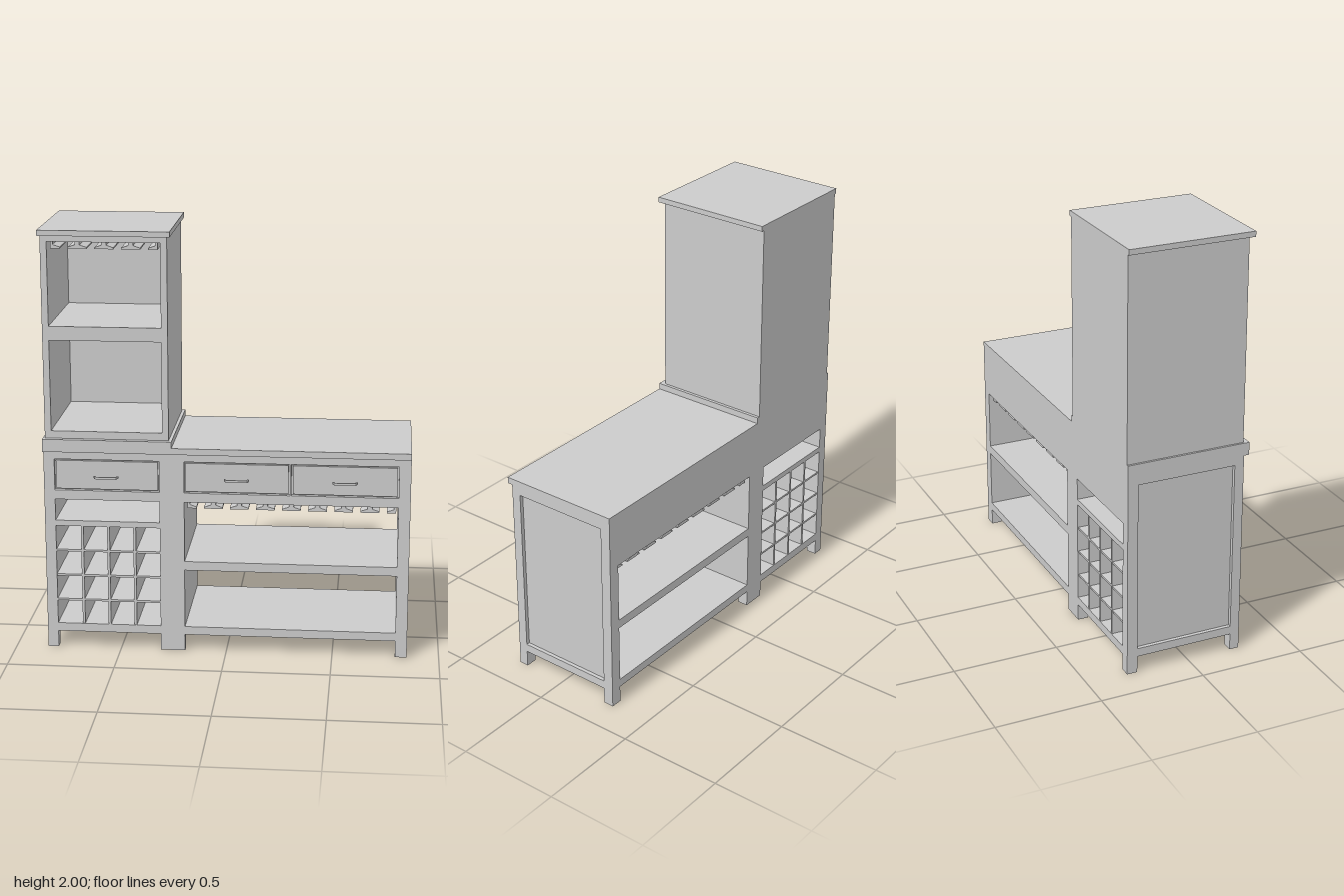
import * as THREE from 'three';

const BACK = -0.305, FRONT = 0.26, LIP = 0.285;

export function createModel() {
  const root = new THREE.Group();
  root.name = 'sideboardWithTower';
  const mat = new THREE.MeshStandardMaterial({ color: 0xcccccc });

  const add = (name, geometry, parent = root) => {
    const mesh = new THREE.Mesh(geometry, mat);
    mesh.name = name;
    parent.add(mesh);
    return mesh;
  };
  // Box given by its limits on each axis
  const box = (name, x0, x1, y0, y1, z0 = BACK, z1 = FRONT, parent = root) => {
    const mesh = add(name, new THREE.BoxGeometry(x1 - x0, y1 - y0, z1 - z0), parent);
    mesh.position.set((x0 + x1) / 2, (y0 + y1) / 2, (z0 + z1) / 2);
    return mesh;
  };
  const group = (name) => {
    const g = new THREE.Group();
    g.name = name;
    root.add(g);
    return g;
  };

  // Worktop and the thicker plinth under the tower
  box('worktop', -0.25, 0.85, 0.97, 1.0, BACK, LIP);
  box('towerPlinth', -0.85, -0.25, 0.97, 1.03, BACK, LIP);

  // End frames: two legs, two rails and a recessed panel
  for (const [side, outer, inner] of [['right', -0.85, -0.8], ['left', 0.85, 0.795]]) {
    const end = group(side + 'End');
    const s = Math.sign(outer);
    const span = (name, a, b, ...rest) => box(name, Math.min(a, b), Math.max(a, b), ...rest, end);
    span('frontLeg', inner, outer, 0, 0.97, 0.215, FRONT);
    span('backLeg', inner, outer, 0, 0.97, BACK, -0.255);
    span('topRail', inner, outer, 0.93, 0.97, -0.255, 0.215);
    span('bottomRail', inner, outer, 0.08, 0.12, -0.255, 0.215);
    span('sidePanel', inner, outer - s * 0.018, 0.12, 0.93, -0.255, 0.215);
  }

  // Central divider on two feet
  box('centreDivider', -0.31, -0.195, 0.08, 0.97);
  box('centreFrontFoot', -0.31, -0.195, 0, 0.08, 0.215, FRONT);
  box('centreBackFoot', -0.31, -0.195, 0, 0.08, BACK, -0.255);

  // Drawer front with a bow handle
  const drawer = (x0, x1, parent) => {
    box('drawerFront', x0 + 0.007, x1 - 0.007, 0.787, 0.923, 0.24, 0.256, parent);
    const w = 0.058;
    const bow = new THREE.Shape([
      [-w, 0], [-w + 0.008, 0.02], [w - 0.008, 0.02], [w, 0],
      [w - 0.008, 0], [w - 0.013, 0.013], [-w + 0.013, 0.013], [-w + 0.008, 0],
    ].map(([x, y]) => new THREE.Vector2(x, y)));
    const handle = add('drawerHandle', new THREE.ExtrudeGeometry(bow, { depth: 0.01, bevelEnabled: false }), parent);
    handle.rotation.x = Math.PI / 2;
    handle.position.set((x0 + x1) / 2, 0.86, LIP);
  };

  // Drawer case of one bay: body, face frame and drawers
  const drawerCase = (name, x0, x1, drawers) => {
    const g = group(name);
    box('caseBody', x0, x1, 0.735, 0.97, BACK, 0.24, g);
    box('upperRail', x0, x1, 0.93, 0.97, 0.24, FRONT, g);
    box('lowerRail', x0, x1, 0.735, 0.78, 0.24, FRONT, g);
    drawers.forEach(([a, b], i) => {
      if (i > 0) box('drawerDivider', drawers[i - 1][1], a, 0.78, 0.93, 0.24, FRONT, g);
      drawer(a, b, g);
    });
  };
  drawerCase('smallDrawerCase', -0.8, -0.31, [[-0.8, -0.31]]);
  drawerCase('wideDrawerCase', -0.195, 0.795, [[-0.195, 0.295], [0.302, 0.795]]);

  // Shelves of both bays
  box('rackBottom', -0.8, -0.31, 0.08, 0.12);
  box('rackShelf', -0.8, -0.31, 0.605, 0.632);
  box('openBayBottom', -0.195, 0.795, 0.08, 0.12);
  box('openBayShelf', -0.195, 0.795, 0.402, 0.445);

  // Bottle rack lattice, four by four cells
  const rack = group('bottleRack');
  for (let i = 1; i < 4; i++) {
    const x = -0.8 + i * 0.1235, y = 0.115 + i * 0.1225;
    box('rackUpright', x - 0.006, x + 0.006, 0.12, 0.605, BACK + 0.003, FRONT - 0.003, rack);
    box('rackCrossboard', -0.8, -0.31, y - 0.005, y + 0.005, BACK + 0.005, FRONT - 0.005, rack);
  }

  // Stemware rails: T-shaped runners, halved at both ends of the row
  const stemRails = (name, x0, x1, count, top, z0, z1) => {
    const g = group(name);
    for (let i = 0; i < count; i++) {
      const left = i > 0 ? 1 : 0, right = i < count - 1 ? 1 : 0;
      const half = [[0.011, 0], [0.011, -0.016], [0.043, -0.027], [0.043, -0.034]];
      const points = [
        ...half.map(([x, y]) => [x * right, y]),
        ...half.map(([x, y]) => [-x * left, y]).reverse(),
      ].filter((p, k, all) => k === 0 || p[0] !== all[k - 1][0] || p[1] !== all[k - 1][1]);
      const shape = new THREE.Shape(points.map(([x, y]) => new THREE.Vector2(x, y)));
      const rail = add('stemRail', new THREE.ExtrudeGeometry(shape, { depth: z1 - z0, bevelEnabled: false }), g);
      rail.position.set(x0 + ((x1 - x0) * i) / (count - 1), top, z0);
    }
  };
  stemRails('lowerStemRails', -0.182, 0.785, 9, 0.735, BACK + 0.02, FRONT - 0.02);
  stemRails('towerStemRails', -0.796, -0.309, 5, 1.945, BACK + 0.02, FRONT - 0.02);

  // Tower: closed back, two open compartments and an overhanging cap
  const tower = group('tower');
  box('towerRightSide', -0.84, -0.81, 1.03, 1.975, BACK, FRONT, tower);
  box('towerLeftSide', -0.295, -0.265, 1.03, 1.975, BACK, FRONT, tower);
  box('towerBottom', -0.81, -0.295, 1.03, 1.065, BACK, FRONT, tower);
  box('towerShelf', -0.81, -0.295, 1.492, 1.557, BACK, FRONT, tower);
  box('towerTop', -0.81, -0.295, 1.945, 1.975, BACK, FRONT, tower);
  box('towerLowerBack', -0.81, -0.295, 1.065, 1.492, BACK, BACK + 0.02, tower);
  box('towerUpperBack', -0.81, -0.295, 1.557, 1.945, BACK, BACK + 0.02, tower);
  box('towerCap', -0.85, -0.25, 1.975, 2.0, BACK, LIP, tower);

  return root;
}
